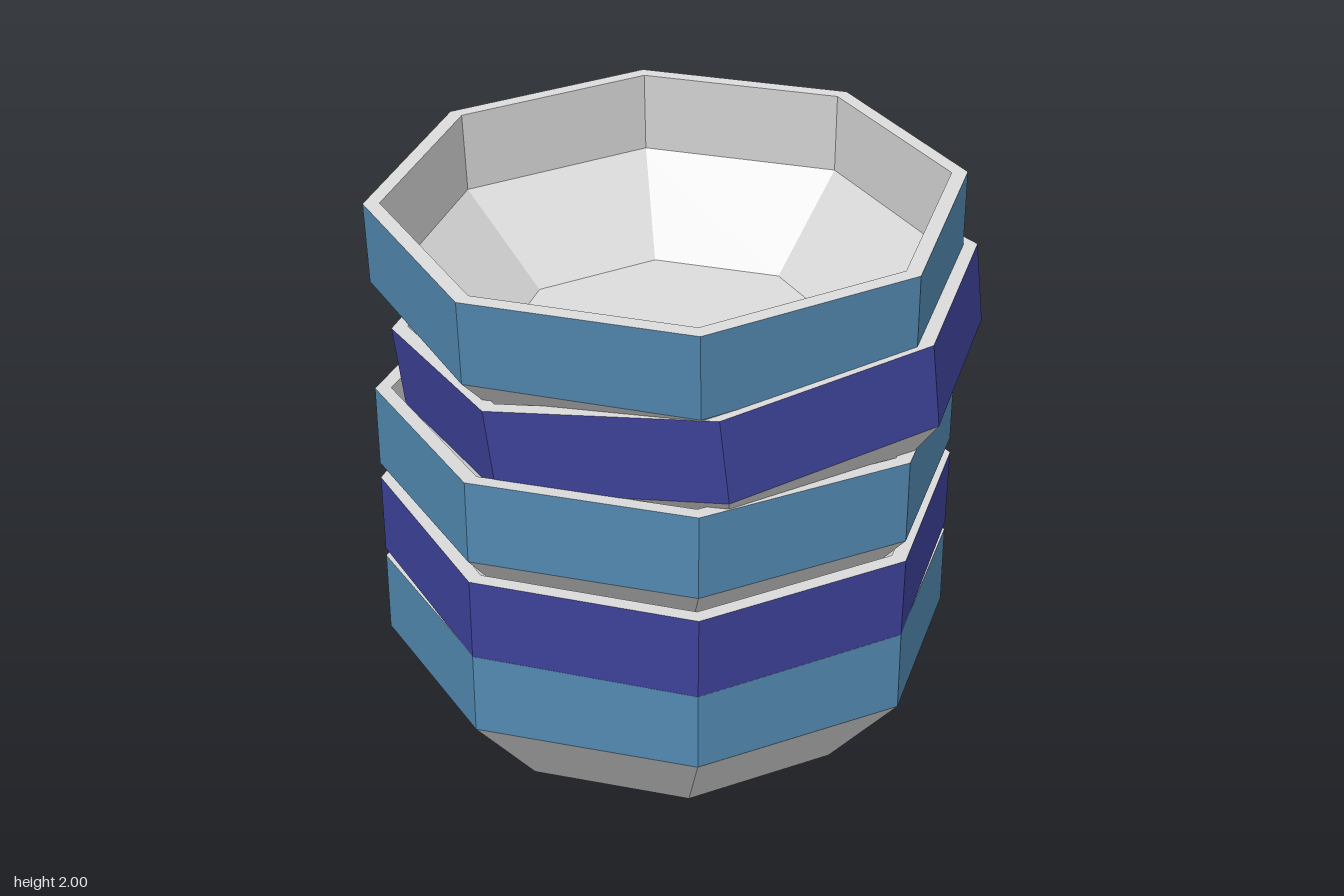
import * as THREE from 'three';

const material = (name, color) => {
  const m = new THREE.MeshStandardMaterial({ color, flatShading: true });
  m.name = name;
  return m;
};

// Eight-sided surface of revolution, corners on the x and z axes
function octagonal(name, profile, mat) {
  const points = profile.map(([r, y]) => new THREE.Vector2(r, y));
  const geometry = new THREE.LatheGeometry(points, 8).toNonIndexed();
  geometry.computeVertexNormals();
  const mesh = new THREE.Mesh(geometry, mat);
  mesh.name = name;
  return mesh;
}

// One bowl, with its origin at the centre of the rim
function createBowl(glaze, clay) {
  const bowl = new THREE.Group();
  bowl.add(
    // foot and sloping underside
    octagonal('underside', [[0, -0.68], [0.41, -0.68], [0.66, -0.545], [0.91, -0.26]], clay),
    // glazed upright band
    octagonal('band', [[0.91, -0.26], [0.91, 0]], glaze),
    // flat rim, inner wall, slope and floor
    octagonal('inside', [[0.91, 0], [0.86, 0], [0.855, -0.26], [0.555, -0.53], [0, -0.53]], clay),
  );
  return bowl;
}

export function createModel() {
  const model = new THREE.Group();
  model.name = 'bowlStack';

  const clay = material('pale grey', 0xd8d8d8);
  const blue = material('steel blue', 0x5289b1);
  const indigo = material('indigo', 0x3e429a);

  // Rim centre and tilt of each bowl, from bottom to top
  const bowls = [
    { at: [-0.04, 0.68, -0.01], tilt: [0, 0] },
    { at: [-0.04, 0.968, 0.005], tilt: [0.05, 0] },
    { at: [-0.04, 1.272, -0.003], tilt: [0.025, 0] },
    { at: [0.015, 1.573, -0.005], tilt: [0.036, 0.116] },
    { at: [-0.04, 1.9, 0.018], tilt: [0.11, 0.022] },
  ];
  bowls.forEach(({ at, tilt }, i) => {
    const bowl = createBowl(i % 2 ? indigo : blue, clay);
    bowl.name = `bowl${i + 1}`;
    bowl.position.set(...at);
    bowl.rotation.set(tilt[0], 0, tilt[1]);
    model.add(bowl);
  });

  return model;
}
